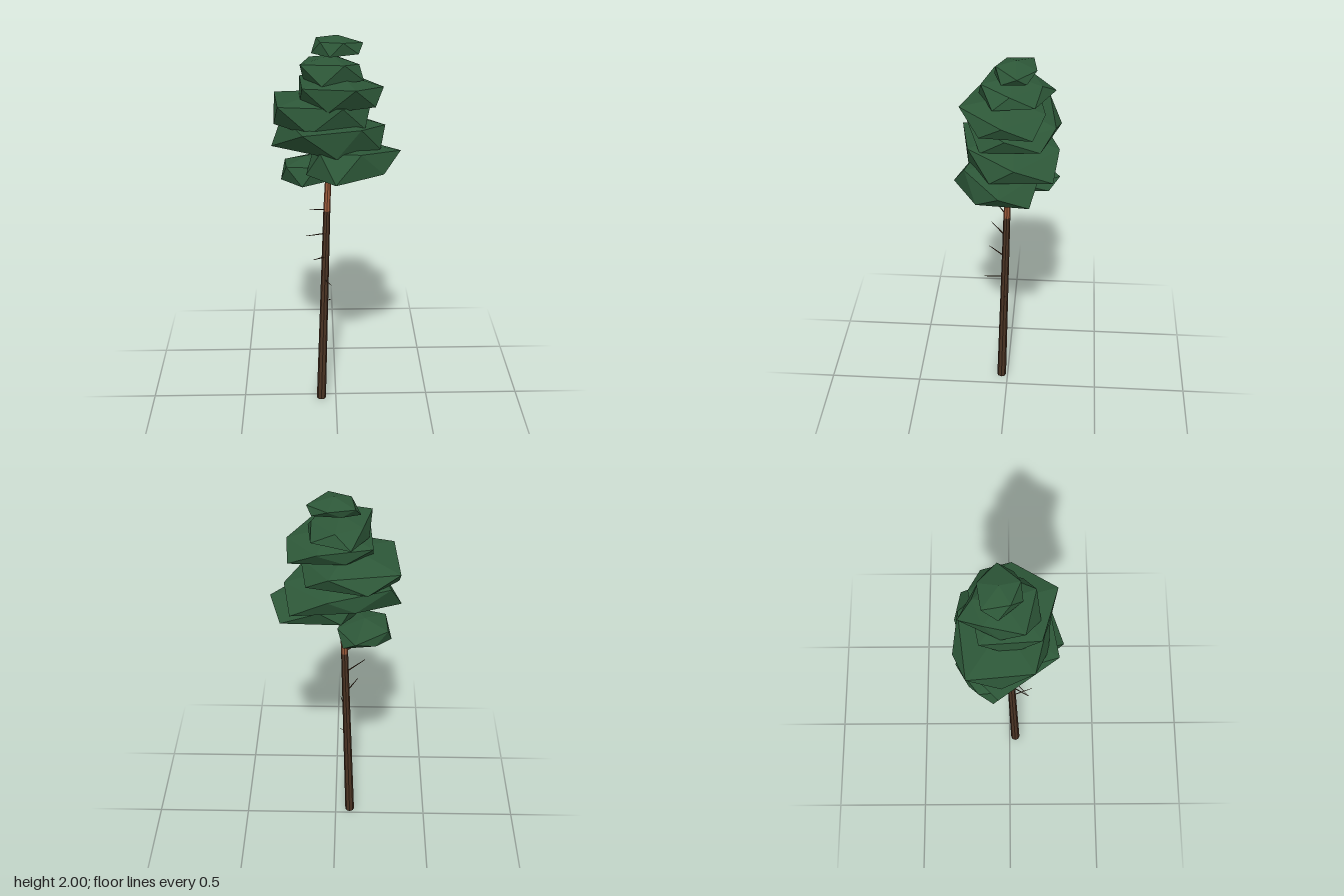
import * as THREE from 'three';

const material = (name, color) => {
  const m = new THREE.MeshStandardMaterial({ color, flatShading: true });
  m.name = name;
  return m;
};

// Tapered round bar between two points
function bar(name, from, to, r0, r1, sides, mat) {
  const a = new THREE.Vector3(...from), b = new THREE.Vector3(...to);
  const dir = b.clone().sub(a);
  const mesh = new THREE.Mesh(new THREE.CylinderGeometry(r1, r0, dir.length(), sides), mat);
  mesh.position.copy(a).add(b).multiplyScalar(0.5);
  mesh.quaternion.setFromUnitVectors(new THREE.Vector3(0, 1, 0), dir.normalize());
  mesh.name = name;
  return mesh;
}

// Irregular icosahedron: the ten [x, z] outline points alternate between an upper and a lower ring
function clumpGeometry(top, upper, lower, bottom, outline) {
  const n = outline.length;
  const wobble = (i) => ((i * 7) % 5 - 2) * 0.05 * (top - bottom);
  const ring = outline.map(([x, z], i) => [x, (i % 2 ? lower : upper) + wobble(i), z]);
  const mid = (k) => outline.reduce((sum, p) => sum + p[k], 0) / n;
  const apex = [mid(0), top, mid(1)], base = [mid(0), bottom, mid(1)];
  const at = (i) => ring[(i + n) % n];
  const corners = [];
  for (let i = 0; i < n; i += 2) {
    corners.push(apex, at(i + 2), at(i));
    corners.push(at(i), at(i + 2), at(i + 1));
    corners.push(at(i - 1), at(i), at(i + 1));
    corners.push(base, at(i - 1), at(i + 1));
  }
  const geo = new THREE.BufferGeometry();
  geo.setAttribute('position', new THREE.Float32BufferAttribute(corners.flat(), 3));
  geo.computeVertexNormals();
  return geo;
}

export function createModel() {
  const tree = new THREE.Group();
  tree.name = 'pineTree';
  const needles = material('needle green', 0x2d5738);
  const bark = material('dark bark', 0x4a3323);
  const upperBark = material('orange bark', 0x9a5a3a);

  // Leaning trunk in two bark colours
  tree.add(bar('lowerTrunk', [-0.08, 0, 0.034], [-0.046, 1.1, 0.002], 0.025, 0.018, 8, bark));
  tree.add(bar('upperTrunk', [-0.046, 1.1, 0.002], [-0.01, 1.93, -0.035], 0.018, 0.008, 8, upperBark));

  // Dead twigs: foot on the trunk, then tip
  const twigs = [
    [[-0.046, 1.108, 0.002], [-0.135, 1.132, 0.065]],
    [[-0.05, 0.975, 0.006], [-0.152, 0.998, 0.09]],
    [[-0.054, 0.843, 0.01], [-0.115, 0.868, 0.1]],
    [[-0.058, 0.712, 0.014], [-0.026, 0.732, 0.12]],
    [[-0.062, 0.585, 0.017], [-0.024, 0.596, 0.012]],
  ];
  for (const [foot, tip] of twigs) tree.add(bar('twig', foot, tip, 0.004, 0.0015, 4, bark));

  // Needle clumps from lowest to highest
  const clump = (name, ...shape) => {
    const mesh = new THREE.Mesh(clumpGeometry(...shape), needles);
    mesh.name = name;
    tree.add(mesh);
  };
  clump('smallLowClump', 1.37, 1.33, 1.26, 1.205, [
    [-0.01, -0.1], [-0.04, 0], [-0.1, 0.04], [-0.17, 0.06], [-0.25, 0],
    [-0.28, -0.08], [-0.26, -0.15], [-0.2, -0.2], [-0.1, -0.265], [-0.04, -0.21]]);
  clump('frontLowClump', 1.48, 1.45, 1.345, 1.29, [
    [0.325, 0.02], [0.235, 0.135], [0.12, 0.2], [-0.005, 0.265], [-0.08, 0.15],
    [-0.15, 0.08], [-0.1, -0.08], [-0.03, -0.15], [0.08, -0.17], [0.27, -0.125]]);
  clump('broadClump', 1.62, 1.565, 1.455, 1.4, [
    [0.25, -0.05], [0.22, 0.07], [0.12, 0.18], [0, 0.19], [-0.165, 0.23],
    [-0.325, -0.055], [-0.27, -0.15], [-0.1, -0.22], [0.035, -0.26], [0.215, -0.235]]);
  clump('leftLeaningClump', 1.73, 1.675, 1.575, 1.52, [
    [0.17, 0], [0.14, 0.12], [0.03, 0.19], [-0.13, 0.18], [-0.285, 0.115],
    [-0.31, -0.04], [-0.31, -0.2], [-0.155, -0.265], [0.03, -0.24], [0.14, -0.17]]);
  clump('middleClump', 1.82, 1.775, 1.685, 1.63, [
    [0.235, 0.01], [0.19, 0.12], [0.09, 0.22], [-0.04, 0.18], [-0.165, 0.145],
    [-0.18, 0], [-0.18, -0.14], [-0.05, -0.16], [0.09, -0.19], [0.225, -0.135]]);
  clump('highClump', 1.905, 1.875, 1.8, 1.76, [
    [0.115, -0.02], [0.135, 0.06], [0.04, 0.12], [-0.07, 0.14], [-0.175, 0.07],
    [-0.16, -0.04], [-0.13, -0.12], [-0.075, -0.235], [0, -0.17], [0.115, -0.14]]);
  clump('crownClump', 2, 1.97, 1.92, 1.895, [
    [0.135, -0.055], [0.11, 0.02], [0.035, 0.05], [-0.03, 0.06], [-0.075, 0.005],
    [-0.12, -0.05], [-0.095, -0.125], [-0.03, -0.125], [0.035, -0.145], [0.11, -0.1]]);
  return tree;
}
